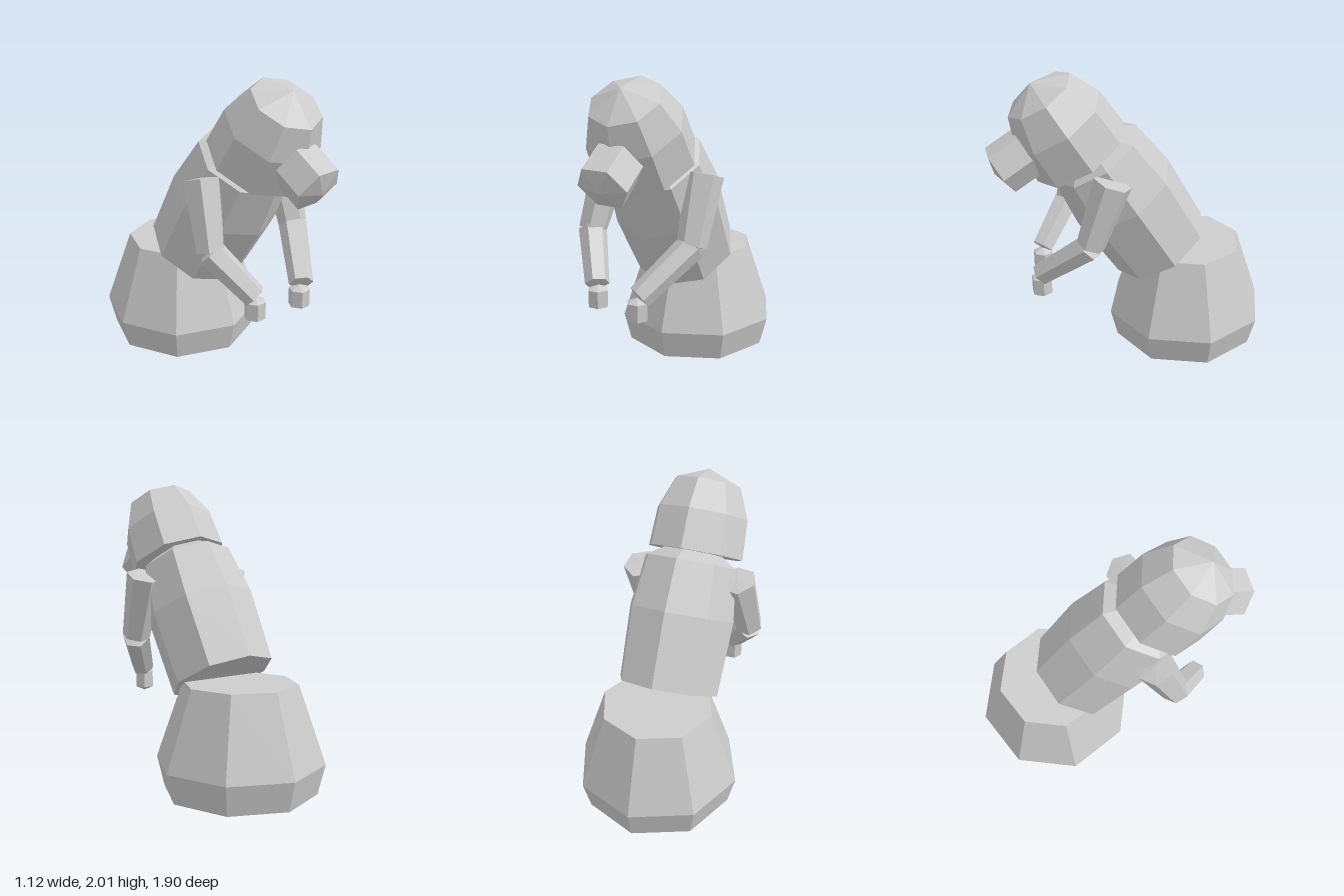
import * as THREE from 'three';

const V = (x, y, z) => new THREE.Vector3(x, y, z);
const UP = V(0, 1, 0);

export function createModel() {
  const group = new THREE.Group();
  const paleGrey = new THREE.MeshStandardMaterial({ color: 0xcccccc });
  paleGrey.name = 'paleGrey';

  // Faceted solid: [radius, height] rings turned about an axis that starts at 'origin'
  function turned(name, sides, rings, origin, axis, roll = 0) {
    const profile = rings.map(([r, h]) => new THREE.Vector2(r, h));
    const geo = new THREE.LatheGeometry(profile, sides, roll).toNonIndexed();
    geo.computeVertexNormals();
    const mesh = new THREE.Mesh(geo, paleGrey);
    mesh.name = name;
    mesh.position.copy(origin);
    mesh.quaternion.setFromUnitVectors(UP, axis.clone().normalize());
    group.add(mesh);
  }

  // Tapered six-sided limb between two points
  function limb(name, from, to, r0, r1) {
    const axis = to.clone().sub(from);
    const len = axis.length();
    turned(name, 6, [[0, -0.01], [r0, 0], [r1, len], [0, len + 0.01]], from, axis);
  }

  const lean = V(0, 0.85, 0.525); // forward tilt of torso and head
  const forward = V(0, -0.525, 0.85); // snout direction, square to the lean

  turned('base', 8, [[0, 0], [0.51, 0], [0.56, 0.2], [0.38, 0.72], [0, 0.72]], V(0, 0, -0.39), UP);
  turned('torso', 8, [[0, 0], [0.352, 0], [0.37, 0.505], [0.322, 0.855], [0, 1.055]], V(0, 0.725, -0.19), lean);
  turned('head', 8, [[0, 0], [0.337, 0], [0.322, 0.27], [0.235, 0.478], [0, 0.576]], V(0, 1.475, 0.355), lean);
  turned('snout', 6, [[0, 0], [0.17, 0], [0.17, 0.217], [0, 0.262]], V(0, 1.523, 0.693), forward, Math.PI / 2);

  // The arms are posed slightly differently
  const arms = [
    { side: 'left', shoulder: V(0.345, 1.39, 0.23), elbow: V(0.335, 0.96, 0.38), wrist: V(0.12, 0.68, 0.67), hand: V(0.105, 0.5, 0.67) },
    { side: 'right', shoulder: V(-0.345, 1.39, 0.23), elbow: V(-0.405, 0.96, 0.375), wrist: V(-0.235, 0.68, 0.6), hand: V(-0.23, 0.5, 0.6) },
  ];
  for (const { side, shoulder, elbow, wrist, hand } of arms) {
    limb(side + 'UpperArm', shoulder, elbow, 0.125, 0.095);
    limb(side + 'Forearm', elbow, wrist, 0.095, 0.08);
    turned(side + 'Hand', 6, [[0, 0], [0.07, 0.03], [0.07, 0.145], [0, 0.175]], hand, UP, Math.PI / 2);
  }
  return group;
}
